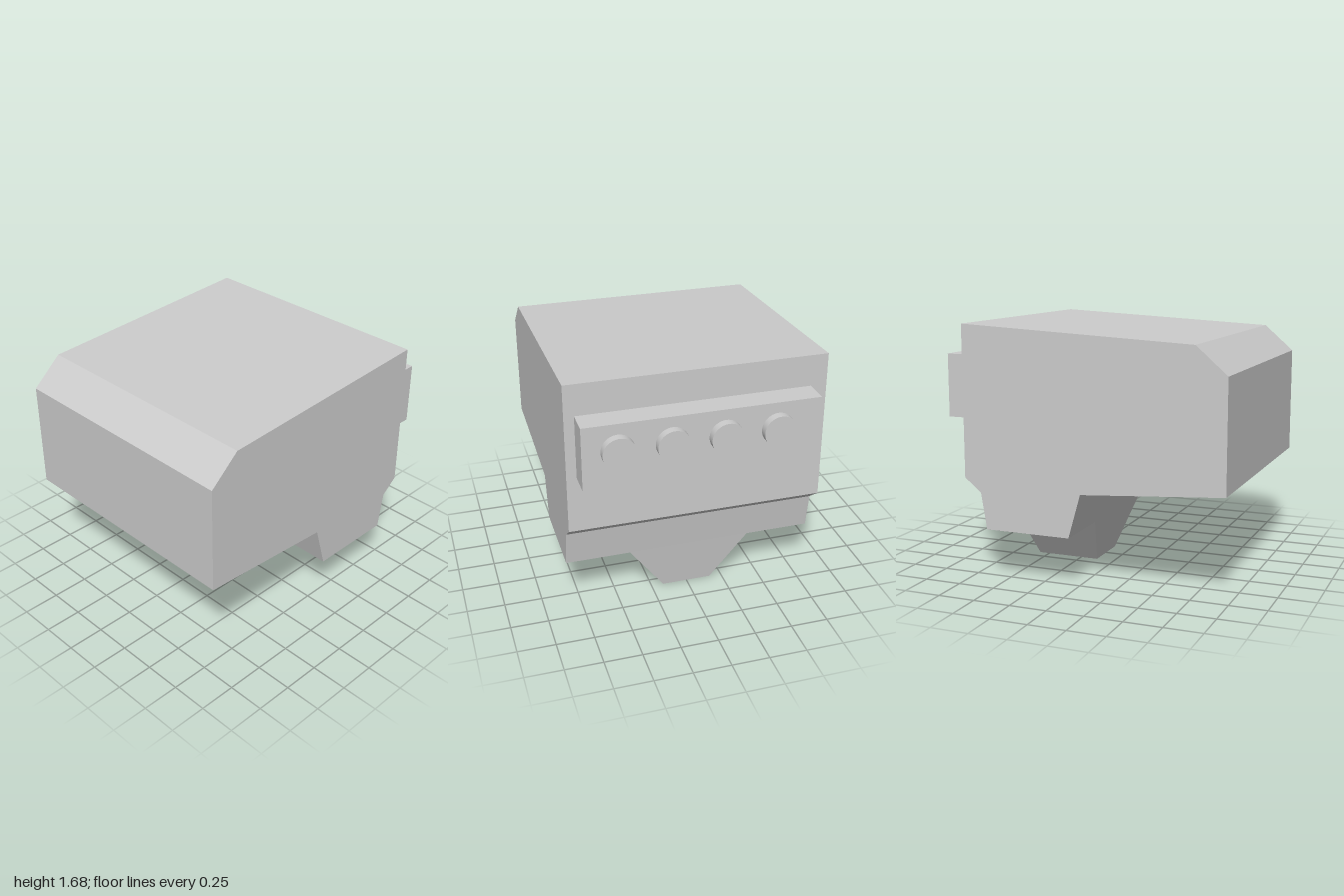
import * as THREE from 'three';

const material = new THREE.MeshStandardMaterial({ color: 0xcccccc });

function addPart(group, name, geometry, x = 0, y = 0, z = 0) {
  const mesh = new THREE.Mesh(geometry, material);
  mesh.name = name;
  mesh.position.set(x, y, z);
  group.add(mesh);
  return mesh;
}

export function createModel() {
  const group = new THREE.Group();
  group.name = 'engineBlock';

  // Main block: side profile extruded along z
  const depth = 1.685;
  const profile = new THREE.Shape([
    [0.035, 0.34], [0.622, 0.34], [0.662, 0.585], [0.777, 0.677], [0.777, 1.685],
    [-0.797, 1.603], [-1, 1.425], [-1, 0.7], [-0.048, 0.632],
  ].map(([x, y]) => new THREE.Vector2(x, y)));
  const block = new THREE.ExtrudeGeometry(profile, { depth, bevelEnabled: false });
  addPart(group, 'mainBlock', block, 0, 0, -depth / 2);

  // Sump: box tapered towards its foot on all four sides
  const sump = new THREE.BoxGeometry(1, 0.34, 1);
  const pos = sump.attributes.position;
  for (let i = 0; i < pos.count; i++) {
    const top = pos.getY(i) > 0;
    const right = pos.getX(i) > 0;
    pos.setX(i, top ? (right ? 0.622 : 0.035) : (right ? 0.571 : 0.127));
    pos.setZ(i, Math.sign(pos.getZ(i)) * (top ? 0.412 : 0.167));
  }
  sump.computeVertexNormals();
  addPart(group, 'sump', sump, 0, 0.17, 0);

  // Manifold rail on the +x side
  addPart(group, 'manifoldRail', new THREE.BoxGeometry(0.17, 0.42, 1.515), 0.86, 1.267, 0.02);

  // Row of four round ports on the rail
  const port = new THREE.CylinderGeometry(0.105, 0.105, 0.055, 48).rotateZ(-Math.PI / 2);
  for (let i = 0; i < 4; i++) {
    addPart(group, `port${i + 1}`, port, 0.9725, 1.302, 0.557 - i * 0.338);
  }

  return group;
}
